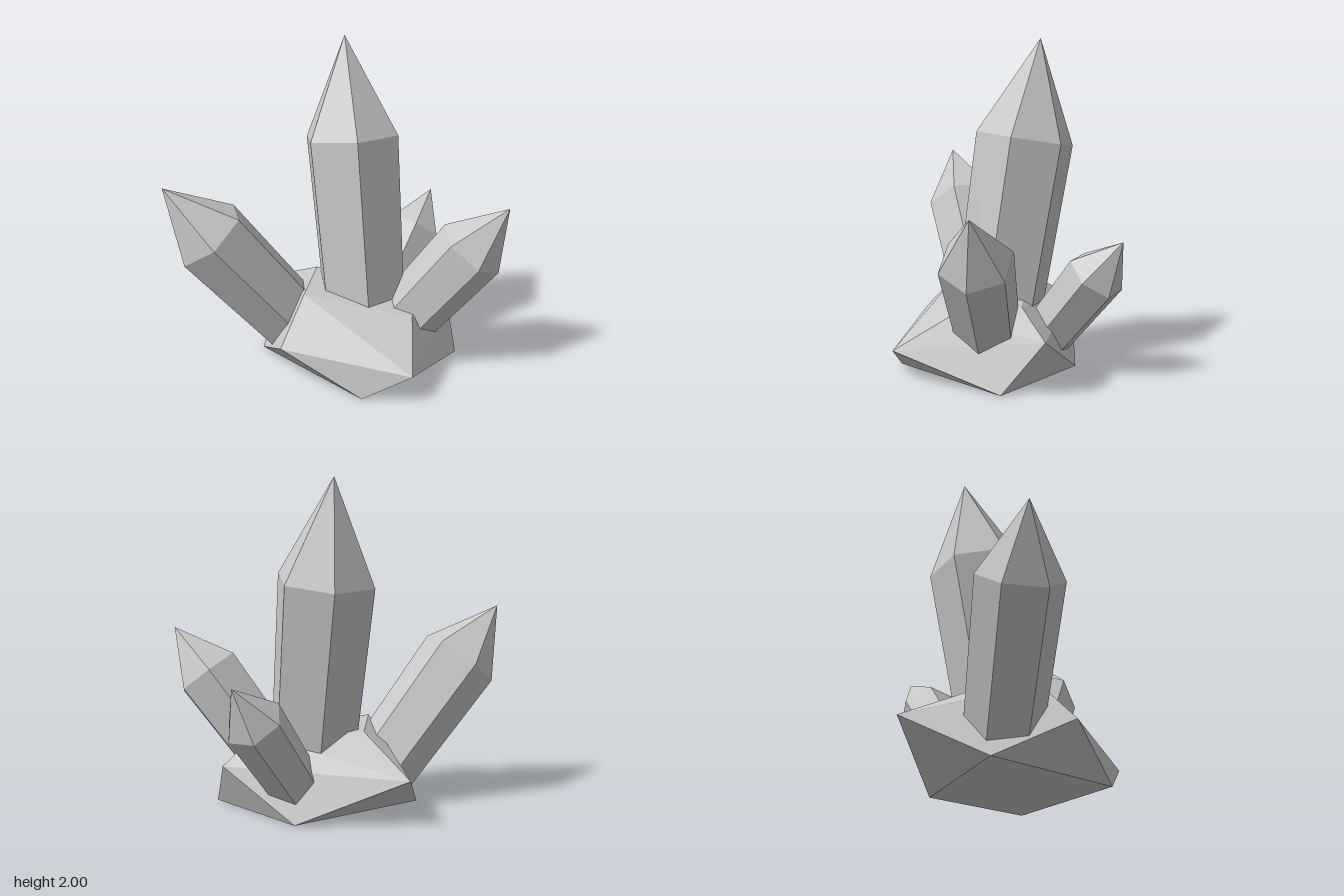
import * as THREE from 'three';
import { ConvexGeometry } from 'three/addons/geometries/ConvexGeometry.js';

const V = (a) => new THREE.Vector3(...a);

// Six-sided pointed crystal running from foot to tip; corner is one shoulder corner
function crystal(name, material, foot, tip, corner, radius, pointLength) {
  const start = V(foot);
  const axis = V(tip).sub(start);
  const length = axis.length();
  axis.normalize();
  const profile = [
    [0, 0], [radius * 0.89, 0], [radius, length - pointLength], [0, length],
  ].map(([x, y]) => new THREE.Vector2(x, y));
  const mesh = new THREE.Mesh(new THREE.LatheGeometry(profile, 6), material);
  mesh.name = name;

  // Turn the first lathe edge (+z) towards the chosen corner
  const out = V(corner).sub(start);
  out.addScaledVector(axis, -out.dot(axis)).normalize();
  const side = new THREE.Vector3().crossVectors(axis, out);
  mesh.quaternion.setFromRotationMatrix(new THREE.Matrix4().makeBasis(side, axis, out));
  mesh.position.copy(start);
  return mesh;
}

export function createModel() {
  const model = new THREE.Group();
  model.name = 'crystalCluster';
  const stone = new THREE.MeshStandardMaterial({ color: 0xc8c8c8, flatShading: true });
  stone.name = 'paleGrey';

  // Faceted rock: floor corners, wide rim, upper corners
  const rock = new THREE.Mesh(new ConvexGeometry([
    [0.35, 0, 0.47], [-0.53, 0, 0.33], [-0.16, 0, -0.48], [0.52, 0, -0.34],
    [-0.15, 0.24, 0.61], [0.62, 0.18, 0.34], [0.33, 0.29, -0.525], [-0.745, 0.28, -0.16],
    [-0.16, 0.5, 0.36], [0.43, 0.39, 0.05], [0.24, 0.45, -0.32], [-0.35, 0.49, -0.02],
  ].map(V)), stone);
  rock.name = 'rockBase';
  model.add(rock);

  // Tall centre crystal and three smaller ones leaning outwards
  model.add(
    crystal('mainCrystal', stone, [0.037, 0.165, -0.015], [-0.235, 2, -0.18], [-0.24, 1.41, 0.17], 0.307, 0.614),
    crystal('frontCrystal', stone, [-0.3, 0.165, 0.207], [-0.82, 1.2, 0.84], [-0.47, 0.87, 0.8], 0.247, 0.417),
    crystal('sideCrystal', stone, [0.2, 0.165, -0.08], [0.85, 1.07, -0.34], [0.62, 0.87, -0.06], 0.218, 0.353),
    crystal('backCrystal', stone, [-0.06, 0.165, -0.305], [0, 0.85, -0.85], [0.16, 0.63, -0.68], 0.18, 0.282),
  );
  return model;
}
